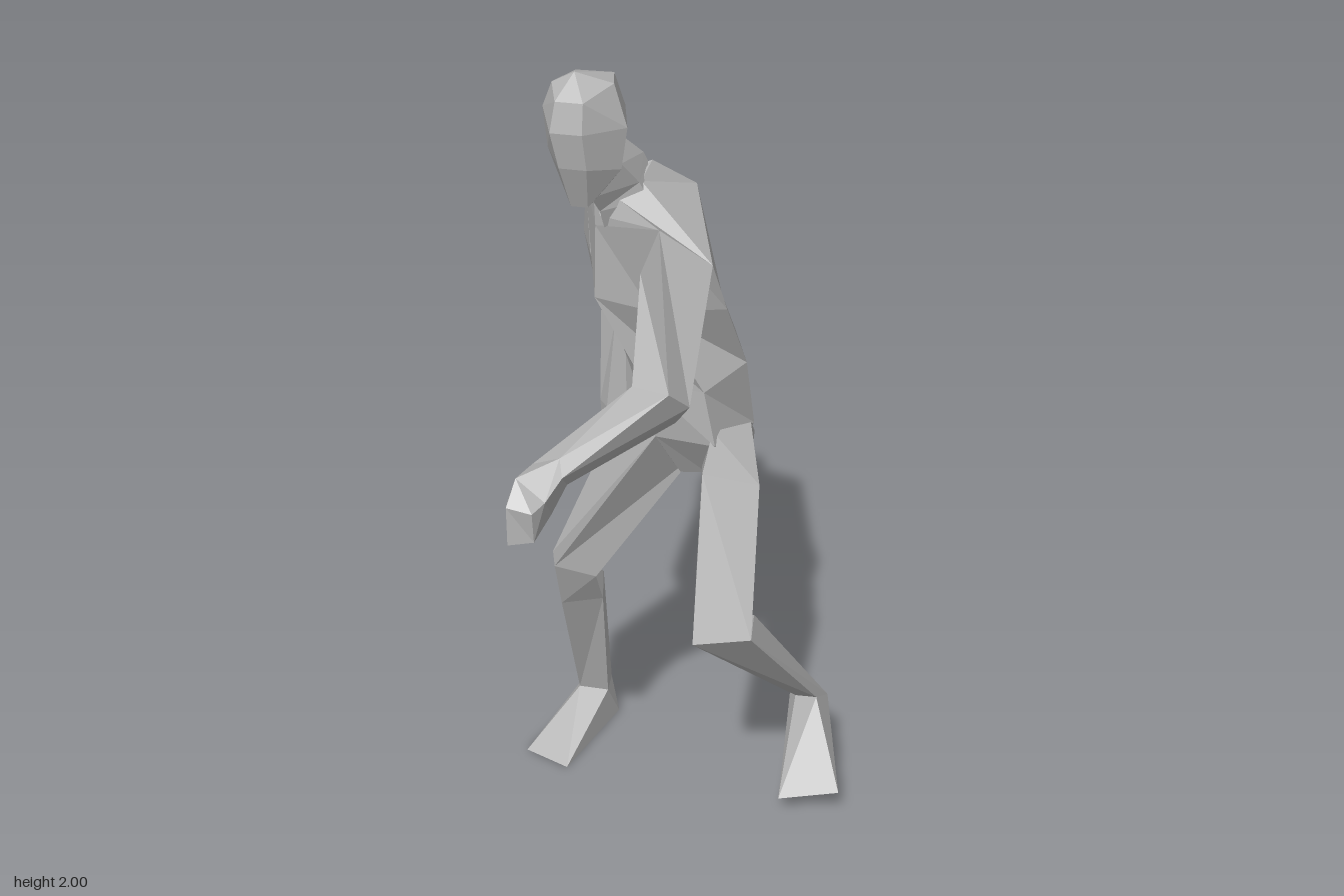
import * as THREE from 'three';
import { ConvexGeometry } from 'three/addons/geometries/ConvexGeometry.js';

const grey = new THREE.MeshStandardMaterial({ color: 0xb4b4b4, flatShading: true });
grey.name = 'clay grey';

// Skin a stack of equal-sized rings, cap both ends, and face everything outward.
function loft(rings) {
  const tris = [];
  const n = rings[0].length;
  for (let r = 0; r + 1 < rings.length; r++) {
    for (let i = 0; i < n; i++) {
      const j = (i + 1) % n, a = rings[r], b = rings[r + 1];
      tris.push([a[i], a[j], b[j]], [a[i], b[j], b[i]]);
    }
  }
  const first = rings[0], last = rings[rings.length - 1];
  for (let i = 1; i + 1 < n; i++) {
    tris.push([first[0], first[i + 1], first[i]], [last[0], last[i], last[i + 1]]);
  }
  const vec = (p) => new THREE.Vector3(...p);
  const origin = vec(first[0]);
  let volume = 0;
  for (const [a, b, c] of tris) {
    volume += vec(a).sub(origin).dot(vec(b).sub(origin).cross(vec(c).sub(origin)));
  }
  if (volume < 0) tris.forEach((t) => t.reverse());
  const geometry = new THREE.BufferGeometry();
  geometry.setAttribute('position', new THREE.Float32BufferAttribute(tris.flat(2), 3));
  geometry.computeVertexNormals();
  return geometry;
}

export function createModel() {
  const model = new THREE.Group();
  model.name = 'walkingFigure';
  const add = (name, geometry) => {
    const mesh = new THREE.Mesh(geometry, grey);
    mesh.name = name;
    model.add(mesh);
  };
  const convex = (points) => new ConvexGeometry(points.map((p) => new THREE.Vector3(...p)));

  // Torso rings: spine, left, left front, breastbone, right front, right
  add('torso', loft([
    [[0.06, 0.92, -0.31], [0.1, 0.94, -0.2], [0.05, 0.93, -0.13], [-0.02, 0.91, -0.15], [-0.07, 0.94, -0.2], [-0.03, 0.93, -0.34]],
    [[0.08, 1.0, -0.35], [0.15, 1.03, -0.23], [0.09, 1.06, -0.04], [-0.07, 1.04, -0.09], [-0.17, 1.08, -0.2], [-0.04, 1.0, -0.39]],
    [[0.08, 1.24, -0.32], [0.14, 1.23, -0.17], [0.06, 1.2, -0.05], [-0.1, 1.2, -0.08], [-0.17, 1.2, -0.2], [-0.07, 1.22, -0.37]],
    [[0.05, 1.34, -0.3], [0.11, 1.42, -0.07], [-0.06, 1.42, -0.02], [-0.22, 1.4, -0.1], [-0.27, 1.39, -0.28], [-0.14, 1.36, -0.41]],
    [[-0.01, 1.64, -0.28], [0.085, 1.555, -0.02], [-0.03, 1.655, 0.03], [-0.215, 1.59, -0.1], [-0.3, 1.6, -0.33], [-0.21, 1.53, -0.44]],
    [[-0.1, 1.725, -0.2], [-0.11, 1.7, -0.13], [-0.15, 1.67, -0.08], [-0.2, 1.62, -0.09], [-0.24, 1.66, -0.18], [-0.19, 1.68, -0.22]],
  ]));

  // Neck, slanting forward: back, left, front, right
  add('neck', loft([
    [[-0.11, 1.72, -0.2], [-0.09, 1.66, -0.12], [-0.185, 1.6, -0.07], [-0.24, 1.65, -0.18]],
    [[-0.12, 1.745, -0.195], [-0.11, 1.705, -0.11], [-0.19, 1.65, -0.05], [-0.24, 1.7, -0.16]],
    [[-0.18, 1.83, -0.125], [-0.14, 1.77, -0.06], [-0.2, 1.7, -0.01], [-0.26, 1.78, -0.08]],
  ]));

  // Head: jaw, cheeks, brow, crown
  add('head', convex([
    [-0.245, 1.68, 0], [-0.205, 1.68, 0], [-0.17, 1.72, -0.03], [-0.18, 1.77, -0.08], [-0.23, 1.77, -0.08], [-0.255, 1.72, -0.03],
    [-0.26, 1.79, 0.042], [-0.195, 1.79, 0.042], [-0.132, 1.77, -0.03], [-0.145, 1.82, -0.12], [-0.26, 1.82, -0.11], [-0.305, 1.81, -0.03],
    [-0.275, 1.88, 0.057], [-0.2, 1.88, 0.057], [-0.118, 1.87, -0.035], [-0.15, 1.88, -0.145], [-0.27, 1.88, -0.135], [-0.313, 1.91, -0.025],
    [-0.265, 1.95, 0.042], [-0.2, 1.95, 0.042], [-0.15, 1.97, -0.045], [-0.17, 1.965, -0.125], [-0.26, 1.965, -0.12], [-0.29, 1.97, -0.025],
    [-0.235, 2, -0.02],
  ]));

  // Left arm reaches forward: top, outer, under, inner
  const leftWrist = [[-0.18, 1.235, 0.38], [-0.17, 1.195, 0.4], [-0.17, 1.155, 0.36], [-0.25, 1.2, 0.36]];
  add('leftArm', loft([
    [[-0.03, 1.655, 0.03], [0.085, 1.555, -0.02], [0.06, 1.41, -0.04], [-0.08, 1.53, 0.01]],
    [[0.045, 1.36, 0.26], [0.08, 1.3, 0.2], [0.045, 1.25, 0.19], [-0.05, 1.35, 0.22]],
    leftWrist,
  ]));
  add('leftHand', loft([
    leftWrist,
    [[-0.27, 1.2, 0.43], [-0.2, 1.15, 0.44], [-0.2, 1.09, 0.39], [-0.295, 1.13, 0.42]],
    [[-0.28, 1.15, 0.48], [-0.22, 1.14, 0.48], [-0.22, 1.06, 0.47], [-0.28, 1.05, 0.48]],
  ]));

  // Right arm trails behind: front, outer, back, inner
  const rightWrist = [[-0.25, 0.98, -0.31], [-0.28, 0.97, -0.36], [-0.23, 0.97, -0.39], [-0.2, 0.98, -0.35]];
  add('rightArm', loft([
    [[-0.29, 1.6, -0.3], [-0.3, 1.6, -0.37], [-0.21, 1.54, -0.44], [-0.19, 1.5, -0.37]],
    [[-0.28, 1.42, -0.29], [-0.32, 1.44, -0.38], [-0.22, 1.4, -0.45], [-0.19, 1.4, -0.37]],
    [[-0.24, 1.2, -0.37], [-0.29, 1.2, -0.42], [-0.21, 1.19, -0.48], [-0.18, 1.21, -0.42]],
    rightWrist,
  ]));
  add('rightHand', loft([
    rightWrist,
    [[-0.26, 0.88, -0.275], [-0.27, 0.85, -0.34], [-0.2, 0.83, -0.375], [-0.18, 0.87, -0.31]],
    [[-0.215, 0.735, -0.31], [-0.22, 0.74, -0.325], [-0.2, 0.74, -0.335], [-0.195, 0.735, -0.32]],
  ]));

  // Left leg, knee raised forward: front, outer, back, inner
  const kneeFront = [0.1, 0.675, 0.25], kneeSide = [0.23, 0.66, 0.18];
  const leftAnkle = [[0.285, 0.245, -0.18], [0.345, 0.27, -0.15], [0.36, 0.21, -0.25], [0.26, 0.22, -0.25]];
  add('leftThigh', loft([
    [[0.08, 1.09, -0.06], [0.155, 1.07, -0.16], [0.15, 1.0, -0.24], [0.03, 0.93, -0.17]],
    [[0.07, 1.01, 0.01], [0.2, 0.96, -0.05], [0.15, 0.94, -0.19], [0.04, 0.91, -0.12]],
    [kneeFront, kneeSide, [0.2, 0.645, 0.15], [0.09, 0.65, 0.18]],
  ]));
  add('leftShin', loft([
    [kneeFront, kneeSide, [0.2, 0.6, -0.015], [0.09, 0.61, 0.05]],
    leftAnkle,
  ]));
  add('leftFoot', convex([
    ...leftAnkle,
    [0.435, 0.085, 0], [0.28, 0.05, 0.015], [0.26, 0.19, -0.25], [0.36, 0.2, -0.25],
  ]));

  // Right leg, planted: front, outer, back, inner
  const rightKnee = [[-0.325, 0.65, -0.045], [-0.365, 0.61, -0.17], [-0.28, 0.6, -0.18], [-0.23, 0.6, -0.095]];
  const rightAnkle = [[-0.33, 0.11, -0.27], [-0.33, 0.1, -0.34], [-0.26, 0.1, -0.35], [-0.25, 0.11, -0.27]];
  add('rightThigh', loft([
    [[-0.07, 1.04, -0.09], [-0.17, 1.08, -0.2], [-0.04, 1.0, -0.38], [0, 0.92, -0.22]],
    rightKnee,
  ]));
  add('rightShin', loft([
    rightKnee,
    [[-0.325, 0.5, -0.1], [-0.355, 0.49, -0.22], [-0.26, 0.49, -0.285], [-0.23, 0.49, -0.16]],
    rightAnkle,
  ]));
  add('rightFoot', convex([
    ...rightAnkle,
    [-0.435, 0, -0.1], [-0.31, 0, -0.05], [-0.235, 0, -0.33], [-0.32, 0, -0.365],
  ]));

  return model;
}
